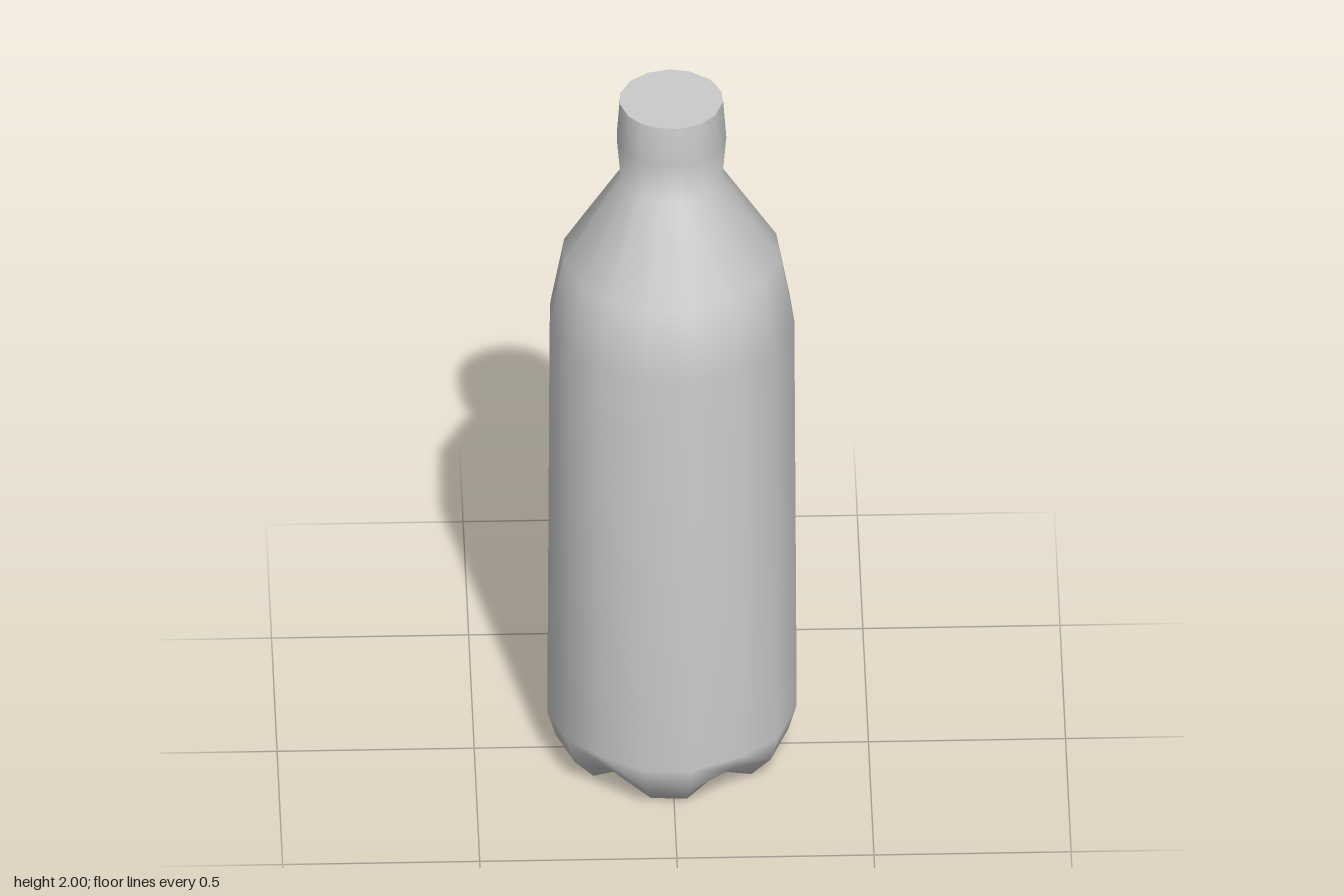
import * as THREE from 'three';

// Compass angles (degrees from the back, turning towards +x) of the slightly uneven 15 sides.
// Every third side line is a valley between two of the five feet.
const ANGLES = [0, 22, 51, 75.5, 96, 124, 148, 172, 194, 217, 237, 262, 283, 309, 335];
const N = ANGLES.length;

// Rings from base to mouth: [foot radius, foot height, valley radius, valley height]
const RINGS = [
  [0.24, 0, 0.225, 0.05],
  [0.297, 0.065, 0.285, 0.095],
  [0.319, 0.14, 0.319, 0.15],
  [0.313, 1.33],
  [0.277, 1.53],
  [0.13, 1.77],
  [0.14, 1.89],
  [0.132, 2],
];

function ringPoint(ring, j) {
  const [r, y, valleyR = r, valleyY = y] = ring;
  const valley = j % 3 === 0;
  const a = THREE.MathUtils.degToRad(ANGLES[j]);
  const radius = valley ? valleyR : r;
  return [radius * Math.sin(a), valley ? valleyY : y, -radius * Math.cos(a)];
}

function makeMesh(name, positions, index, material) {
  const geometry = new THREE.BufferGeometry();
  geometry.setAttribute('position', new THREE.Float32BufferAttribute(positions, 3));
  geometry.setIndex(index);
  geometry.computeVertexNormals();
  const mesh = new THREE.Mesh(geometry, material);
  mesh.name = name;
  return mesh;
}

export function createModel() {
  const group = new THREE.Group();
  group.name = 'bottle';
  const material = new THREE.MeshStandardMaterial({ color: 0xcccccc });

  // Body: raised centre of the base, five feet, wall, shoulder and neck
  const positions = [0, 0.04, 0];
  const index = [];
  RINGS.forEach((ring, k) => {
    for (let j = 0; j < N; j++) {
      positions.push(...ringPoint(ring, j));
      const next = (j + 1) % N;
      const d = 1 + k * N + j, c = 1 + k * N + next;
      if (k === 0) index.push(0, d, c);
      else index.push(d - N, d, c, d - N, c, c - N);
    }
  });
  group.add(makeMesh('bottleBody', positions, index, material));

  // Flat lid closing the neck, with a sharp edge
  const mouth = RINGS[RINGS.length - 1];
  const lidPositions = [0, mouth[1], 0];
  const lidIndex = [];
  for (let j = 0; j < N; j++) {
    lidPositions.push(...ringPoint(mouth, j));
    lidIndex.push(0, 1 + (j + 1) % N, 1 + j);
  }
  group.add(makeMesh('neckTop', lidPositions, lidIndex, material));

  return group;
}
